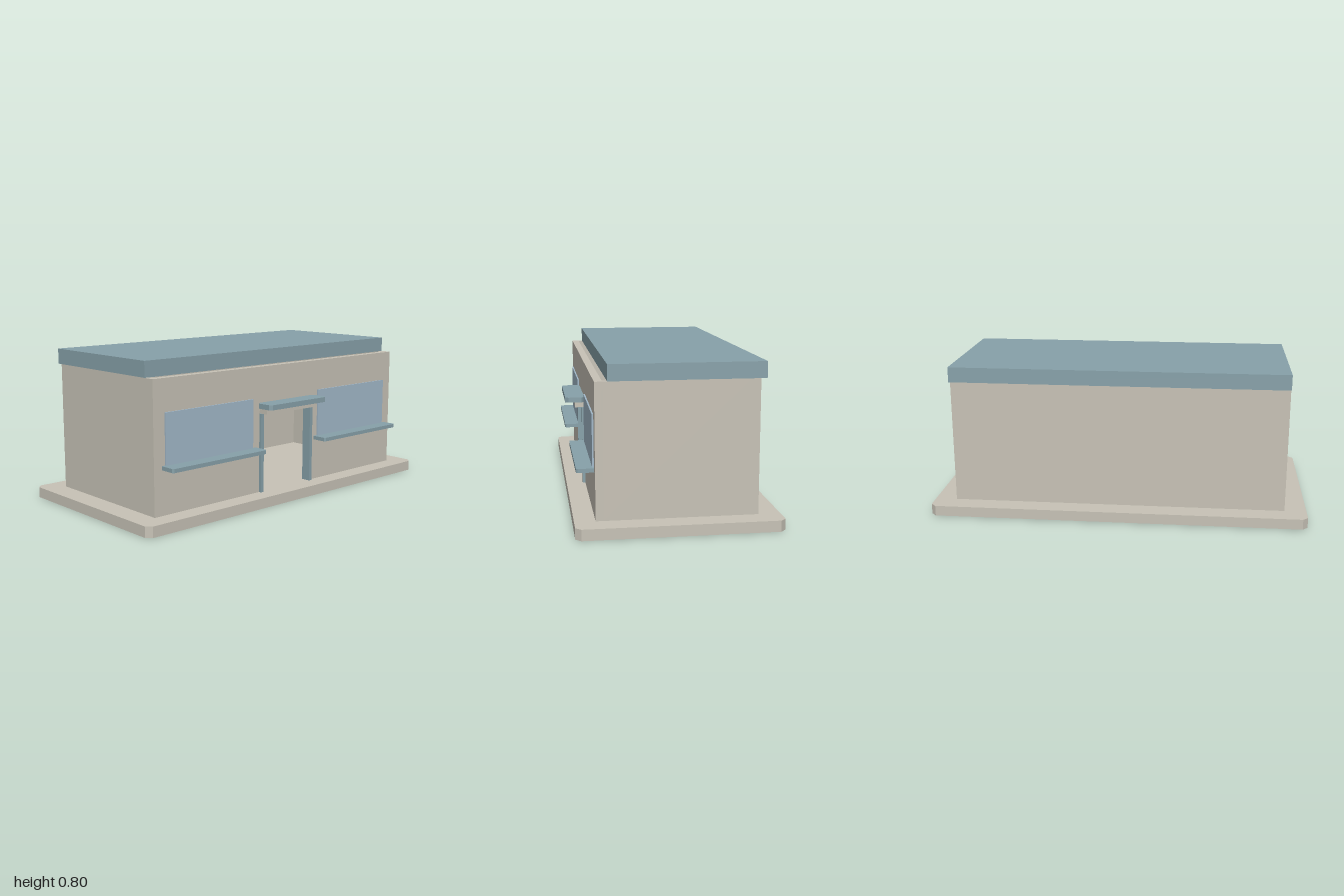
import * as THREE from 'three';

const stone = new THREE.MeshStandardMaterial({ name: 'warm stone', color: 0xc8c3b7 });
const teal = new THREE.MeshStandardMaterial({ name: 'grey teal', color: 0x88a2aa });
const glass = new THREE.MeshStandardMaterial({ name: 'pale blue glass', color: 0xa3b9ca });

function add(group, name, geometry, material) {
  const mesh = new THREE.Mesh(geometry, material);
  mesh.name = name;
  group.add(mesh);
  return mesh;
}

// Box given by its lower and upper limits on each axis
function block(group, name, [x0, x1], [y0, y1], [z0, z1], material) {
  const mesh = add(group, name, new THREE.BoxGeometry(x1 - x0, y1 - y0, z1 - z0), material);
  mesh.position.set((x0 + x1) / 2, (y0 + y1) / 2, (z0 + z1) / 2);
  return mesh;
}

// Flat slab with chamfered corners: cb at the -x side, cf at the +x side
function slab(group, name, [x0, x1], [y0, y1], [z0, z1], cb, cf, material) {
  const points = [
    [x0 + cb, z0], [x1 - cf, z0], [x1, z0 + cf], [x1, z1 - cf],
    [x1 - cf, z1], [x0 + cb, z1],
  ];
  if (cb > 0) points.push([x0, z1 - cb], [x0, z0 + cb]);
  const shape = new THREE.Shape(points.map(([x, z]) => new THREE.Vector2(x, -z)));
  const geometry = new THREE.ExtrudeGeometry(shape, { depth: y1 - y0, bevelEnabled: false });
  geometry.rotateX(-Math.PI / 2).translate(0, y0, 0);
  return add(group, name, geometry, material);
}

export function createModel() {
  const model = new THREE.Group();
  model.name = 'smallShop';
  const floor = 0.055, eaves = 0.72, half = 0.885, inner = 0.85;

  slab(model, 'basePlinth', [-0.5, 0.5], [0, floor], [-1, 1], 0.027, 0.027, stone);

  // Hollow shell: back wall, two end walls, and a storefront wall with a doorway
  block(model, 'backWall', [-0.39, -0.35], [floor, eaves], [-half, half], stone);
  for (const [side, s] of [['left', -1], ['right', 1]]) {
    const z = s > 0 ? [inner, half] : [-half, -inner];
    block(model, side + 'EndWall', [-0.35, 0.36], [floor, eaves], z, stone);
  }
  const front = new THREE.Shape([
    [-half, floor], [-0.195, floor], [-0.195, 0.49], [0.195, 0.49],
    [0.195, floor], [half, floor], [half, eaves], [-half, eaves],
  ].map(([z, y]) => new THREE.Vector2(z, y)));
  const wall = new THREE.ExtrudeGeometry(front, { depth: 0.038, bevelEnabled: false });
  wall.rotateY(Math.PI / 2).translate(0.36, 0, 0);
  add(model, 'storefrontWall', wall, stone);

  // Roof stops short of the storefront, leaving a narrow gap
  block(model, 'roof', [-0.42, 0.337], [eaves, 0.8], [-half, half], teal);

  // Doorway
  slab(model, 'doorCanopy', [0.398, 0.5], [0.505, 0.532], [-0.213, 0.213], 0.016, 0.016, teal);
  block(model, 'doorLintel', [0.36, 0.447], [0.475, 0.505], [-0.19, 0.19], stone);

  // Door posts, windows and sills on both sides of the door
  for (const s of [-1, 1]) {
    const side = s > 0 ? 'right' : 'left';
    const span = (a, b) => (s > 0 ? [a, b] : [-b, -a]);
    block(model, side + 'DoorPost', [0.36, 0.412], [floor, 0.475], span(0.176, 0.196), teal);
    block(model, side + 'Window', [0.397, 0.406], [0.29, 0.557], span(0.247, 0.818), glass);
    slab(model, side + 'WindowSill', [0.397, 0.484], [0.28, 0.3], span(0.222, 0.838), 0, 0.008, teal);
  }
  return model;
}
